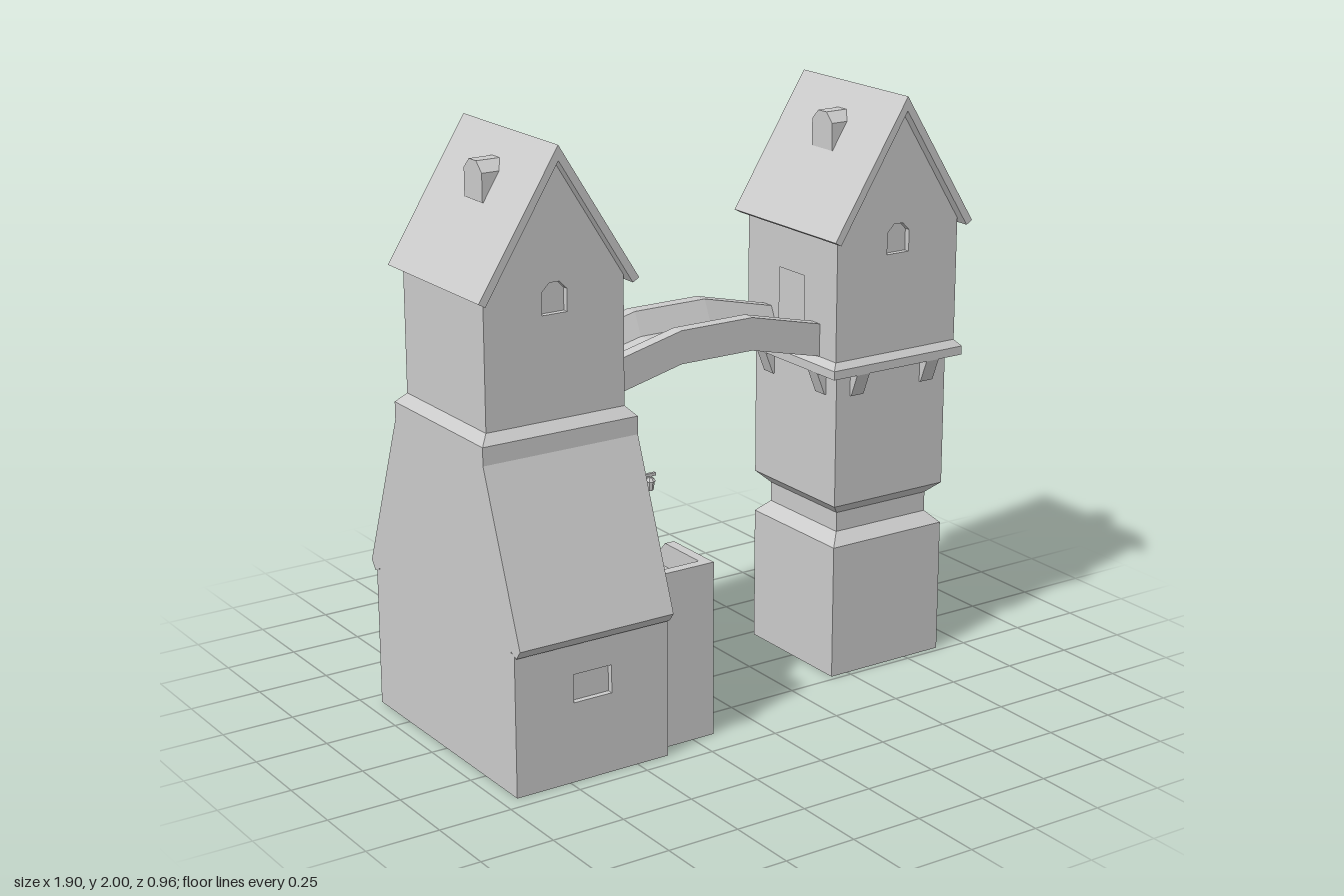
import * as THREE from 'three';

const mat = new THREE.MeshStandardMaterial({ color: 0xcccccc, flatShading: true });

function add(parent, name, geo, x = 0, y = 0, z = 0) {
  const m = new THREE.Mesh(geo, mat);
  m.name = name;
  m.position.set(x, y, z);
  parent.add(m);
  return m;
}
function group(parent, name, x = 0, y = 0, z = 0) {
  const g = new THREE.Group();
  g.name = name;
  g.position.set(x, y, z);
  parent.add(g);
  return g;
}
const vecs = (pts) => pts.map(([a, b]) => new THREE.Vector2(a, b));

// Outline in (x, y), pushed from z0 to z1
function extrudeZ(pts, z0, z1, holes = [], steps = 1) {
  const s = new THREE.Shape(vecs(pts));
  holes.forEach((h) => s.holes.push(new THREE.Path(vecs(h))));
  return new THREE.ExtrudeGeometry(s, { depth: z1 - z0, bevelEnabled: false, steps }).translate(0, 0, z0);
}
// Outline in (z, y), pushed from x0 to x1
function extrudeX(pts, x0, x1, holes = [], steps = 1) {
  const flip = (p) => p.map(([z, y]) => [-z, y]);
  return extrudeZ(flip(pts), x0, x1, holes.map(flip), steps).rotateY(Math.PI / 2);
}
function box(x0, x1, y0, y1, z0, z1) {
  return new THREE.BoxGeometry(x1 - x0, y1 - y0, z1 - z0)
    .translate((x0 + x1) / 2, (y0 + y1) / 2, (z0 + z1) / 2);
}
const rect = (a0, a1, b0, b1) => [[a0, b0], [a1, b0], [a1, b1], [a0, b1]];
// Opening with cut upper corners
function arch(c, w, y0, y1) {
  const h = w / 2, k = w * 0.3;
  return [[c - h, y0], [c + h, y0], [c + h, y1 - k], [c + h - k, y1], [c - h + k, y1], [c - h, y1 - k]];
}
// Square tower section from (half width, y) points
function squareLathe(pts) {
  return new THREE.LatheGeometry(vecs(pts.map(([r, y]) => [r * Math.SQRT2, y])), 4, Math.PI / 4);
}
// Full outline from its +side, listed bottom to top
const mirrored = (half) => [...half, ...half.slice().reverse().map(([a, b]) => [-a, b])];

// Gabled top storey; side is +1 or -1 for the wall that meets the bridge
function topStorey(parent, side) {
  const g = group(parent, 'topStorey');
  const gable = (w) => [[-w, 1.13], [w, 1.13], [w, 1.97 - w * 1.58], [0, 1.965], [-w, 1.97 - w * 1.58]];
  add(g, 'storeyCore', extrudeZ(gable(0.23), -0.23, 0.23));
  for (const s of [-1, 1]) {
    add(g, 'gableWall', extrudeZ(gable(0.25), -0.01, 0.01, [arch(0, 0.09, 1.47, 1.57)]), 0, 0, s * 0.24);
    const door = s === side ? [rect(-0.07, 0.07, 1.15, 1.39)] : [];
    add(g, 'sideWall', extrudeX(rect(-0.23, 0.23, 1.13, 1.575), -0.01, 0.01, door), s * 0.24);
  }
  add(g, 'roof', extrudeZ([
    [-0.285, 1.55], [-0.262, 1.537], [0, 1.952], [0.262, 1.537], [0.285, 1.55], [0, 2],
  ], -0.285, 0.285));
  add(g, 'dormers', extrudeX(arch(0, 0.11, 1.795, 1.92), -0.133, 0.133));
}

// Broad house with lean-to slopes at front and back
function houseTower(parent) {
  const g = group(parent, 'houseTower', -0.665);
  const upper = [[0.48, 0.5], [0.28, 1.04], [0.28, 1.1]];
  const core = mirrored([[0.425, 0], [0.425, 0.485], [0.457, 0.47], ...upper]);
  const full = mirrored([[0.445, 0], [0.445, 0.478], [0.457, 0.47], ...upper]);
  add(g, 'houseCore', extrudeX(core, -0.28, 0.26));
  add(g, 'houseSideWall', extrudeX(full, 0.26, 0.28, [
    rect(0.16, 0.32, 0.525, 0.79), arch(-0.11, 0.11, 0.71, 0.86),
  ]));
  for (const s of [-1, 1]) {
    add(g, 'houseEndWall', extrudeZ(rect(-0.28, 0.26, 0, 0.48), -0.01, 0.01,
      [rect(-0.07, 0.07, 0.27, 0.365)]), 0, 0, s * 0.435);
  }
  add(g, 'ledge', squareLathe([[0.28, 1.1], [0.25, 1.132], [0, 1.132]]));
  topStorey(g, 1);
}

// Slim tower with a waist and a corbelled platform
function slimTower(parent) {
  const g = group(parent, 'slimTower', 0.6625);
  add(g, 'baseCore', box(-0.23, 0.23, 0, 0.47, -0.21, 0.23));
  add(g, 'baseDoorWall', extrudeZ(rect(-0.23, 0.23, 0, 0.47), -0.23, -0.21,
    [rect(-0.1, 0.1, 0.008, 0.28)]));
  add(g, 'shaft', squareLathe([
    [0.23, 0.47], [0.19, 0.51], [0.19, 0.578], [0.23, 0.617], [0.23, 1.08],
    [0.27, 1.08], [0.27, 1.11], [0.25, 1.132], [0, 1.132],
  ]));
  for (let i = 0; i < 4; i++) {
    const face = group(g, 'corbelPair');
    face.rotation.y = i * Math.PI / 2;
    for (const s of [-1, 1]) {
      add(face, 'corbel', extrudeX([[0.22, 1], [0.236, 1], [0.268, 1.08], [0.22, 1.08]],
        -0.026, 0.026), s * 0.147);
    }
  }
  topStorey(g, -1);
}

// Stair along the house wall, with a parapet around the landing
function stair(parent) {
  const g = group(parent, 'stair');
  const n = 10, run = 0.465 / n, rise = 0.052;
  const pts = [[-0.305, 0]];
  for (let i = 0; i < n; i++) {
    pts.push([-0.305 + i * run, rise * (i + 1)], [-0.305 + (i + 1) * run, rise * (i + 1)]);
  }
  pts.push([0.355, 0.52], [0.355, 0.46], [0.18, 0.46], [-0.24, 0]);
  add(g, 'stepsAndLanding', extrudeX(pts, -0.385, -0.205));
  add(g, 'stairParapet', extrudeX(
    [[0.39, 0], [0.39, 0.6], [0.16, 0.6], [-0.305, 0.1], [-0.305, 0]], -0.205, -0.17));
  add(g, 'landingFrontWall', box(-0.385, -0.205, 0, 0.6, 0.355, 0.39));
}

// Humped footbridge: a trough section bent by a ramp rule
function bridge(parent) {
  const section = mirrored([[0.16, 0], [0.16, 0.112], [0.115, 0.112], [0.08, 0.035]]);
  const geo = extrudeX(section, -0.415, 0.415, [], 6);
  const p = geo.attributes.position;
  for (let i = 0; i < p.count; i++) {
    const t = Math.min(1, (0.415 - Math.abs(p.getX(i))) / 0.277);
    p.setY(i, p.getY(i) + 1.132 + 0.066 * t);
  }
  geo.computeVertexNormals();
  add(parent, 'bridge', geo);
}

// Wall lantern by the landing door
function lantern(parent) {
  const g = group(parent, 'lantern', -0.385, 0, 0.24);
  add(g, 'lanternPlate', box(0, 0.008, 0.865, 0.895, -0.012, 0.012));
  add(g, 'lanternArm', box(0, 0.09, 0.876, 0.886, -0.005, 0.005));
  add(g, 'lanternHook', box(0.068, 0.076, 0.86, 0.88, -0.004, 0.004));
  add(g, 'lanternCap', new THREE.CylinderGeometry(0.008, 0.018, 0.012, 8), 0.072, 0.866, 0);
  add(g, 'lanternBody', new THREE.CylinderGeometry(0.015, 0.01, 0.032, 8), 0.072, 0.845, 0);
}

export function createModel() {
  const model = new THREE.Group();
  model.name = 'twinTowers';
  houseTower(model);
  slimTower(model);
  stair(model);
  bridge(model);
  lantern(model);
  return model;
}
